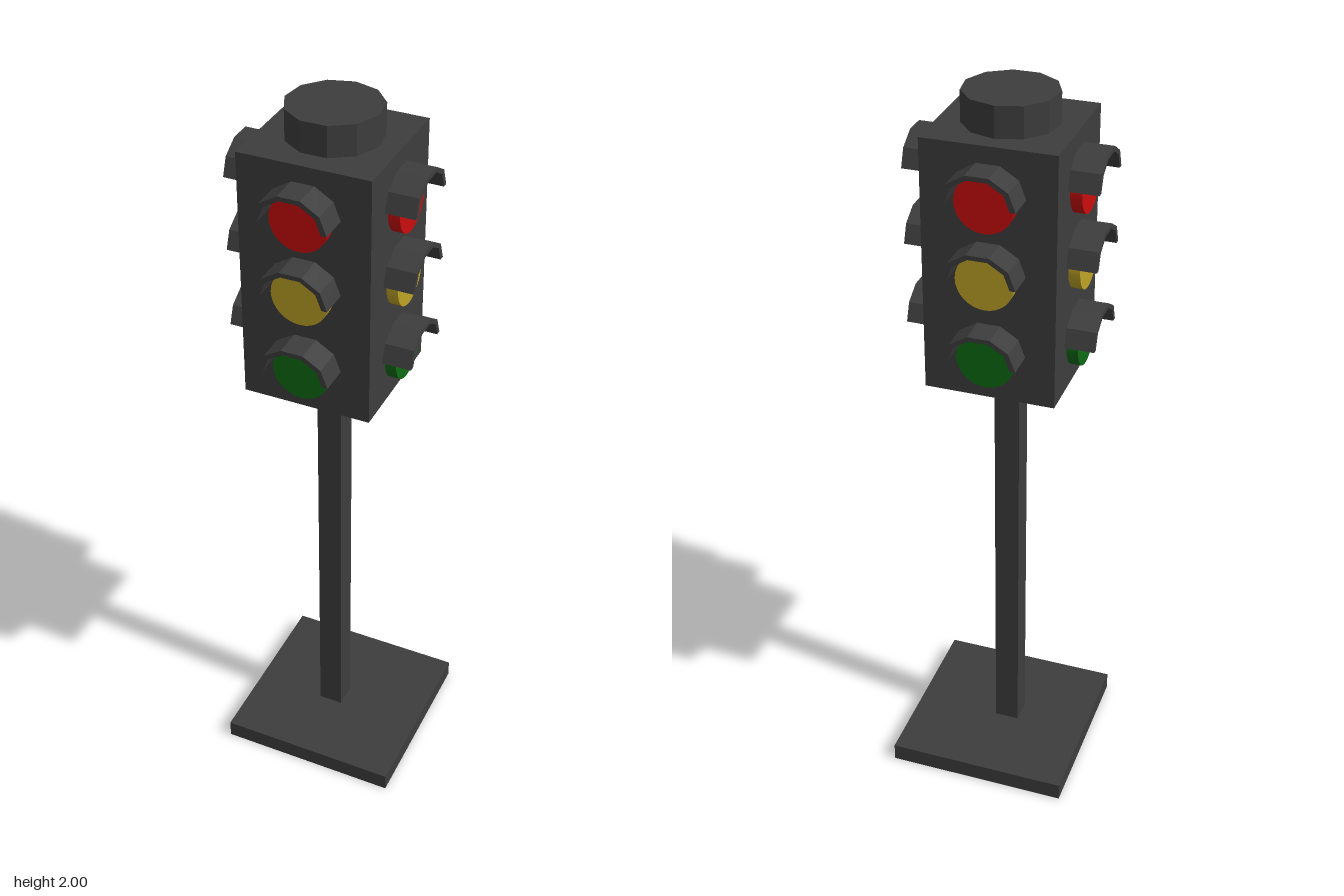
import * as THREE from 'three';

const paint = (name, color) => {
  const m = new THREE.MeshStandardMaterial({ color });
  m.name = name;
  return m;
};

export function createModel() {
  const grey = paint('dark grey', 0x3d3d3d);
  const lamps = [
    { name: 'redLamp', y: 1.788, hood: 1.8, mat: paint('red', 0xcb0d0d) },
    { name: 'yellowLamp', y: 1.586, hood: 1.6, mat: paint('yellow', 0xbea326) },
    { name: 'greenLamp', y: 1.37, hood: 1.381, mat: paint('green', 0x0e6b14) },
  ];

  const model = new THREE.Group();
  model.name = 'trafficLight';
  const add = (parent, name, geometry, material, x, y, z) => {
    const mesh = new THREE.Mesh(geometry, material);
    mesh.name = name;
    mesh.position.set(x, y, z);
    parent.add(mesh);
    return mesh;
  };

  // Base, pole, housing and cap
  const cx = -0.012, cz = 0.004, half = 0.171;
  add(model, 'base', new THREE.BoxGeometry(0.504, 0.05, 0.502), grey, 0.006, 0.025, -0.004);
  add(model, 'pole', new THREE.BoxGeometry(0.068, 1.21, 0.068), grey, cx, 0.65, cz);
  add(model, 'housing', new THREE.BoxGeometry(half * 2, 0.67, half * 2), grey, cx, 1.585, cz);
  const capGeo = new THREE.CylinderGeometry(0.121, 0.121, 0.09, 11).toNonIndexed();
  capGeo.rotateY(Math.PI); // one corner points to the back
  capGeo.computeVertexNormals();
  add(model, 'cap', capGeo, grey, cx, 1.955, 0.001);

  // Hood: five-sided arch, slightly flattened, with its open side down
  const arch = (r) => Array.from({ length: 6 }, (_, i) => {
    const a = (i * Math.PI) / 5;
    return new THREE.Vector2(r * Math.cos(a), r * Math.sin(a) * 0.845);
  });
  const hoodShape = new THREE.Shape([...arch(0.0945), ...arch(0.08).reverse()]);
  const hoodGeo = new THREE.ExtrudeGeometry(hoodShape, { depth: 0.087, bevelEnabled: false });

  // Lamp: short drum facing outwards
  const lampGeo = new THREE.CylinderGeometry(0.075, 0.075, 0.04, 32);
  lampGeo.rotateX(Math.PI / 2);

  // Three hooded lamps on each of the four sides
  ['front', 'left', 'back', 'right'].forEach((side, i) => {
    const face = new THREE.Group();
    face.name = side + 'Signals';
    face.position.set(cx, 0, cz);
    face.rotation.y = (i * Math.PI) / 2;
    for (const lamp of lamps) {
      add(face, lamp.name, lampGeo, lamp.mat, 0, lamp.y, half + 0.01);
      add(face, 'hood', hoodGeo, grey, 0, lamp.hood, half - 0.01);
    }
    model.add(face);
  });

  return model;
}
